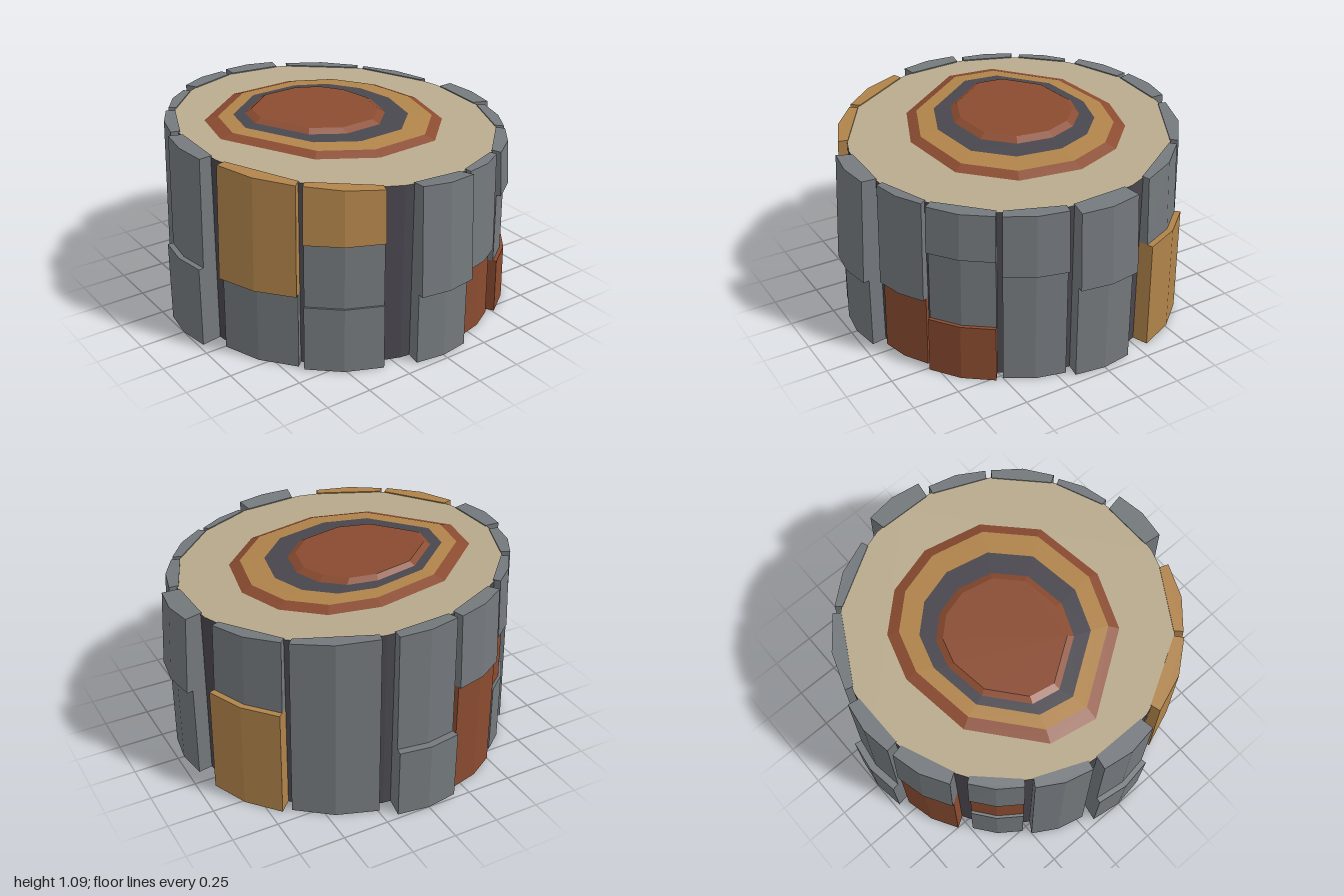
import * as THREE from 'three';

const paint = (name, hex, extra = {}) => {
  const m = new THREE.MeshStandardMaterial({ color: hex, flatShading: true, ...extra });
  m.name = name;
  return m;
};

// Slanted plane of the cut face
const cutY = (x, z) => 1.003 - 0.052 * x - 0.04 * z;
const polar = (deg, r) => {
  const a = THREE.MathUtils.degToRad(deg);
  return [r * Math.cos(a), r * Math.sin(a)];
};

// Joins stacked loops (counter-clockwise from above) with optional end caps
function skin(loops, capBottom, capTop) {
  const pos = [];
  const tri = (a, b, c) => pos.push(...a, ...b, ...c);
  for (let k = 0; k + 1 < loops.length; k++) {
    const lo = loops[k], hi = loops[k + 1], n = lo.length;
    for (let i = 0; i < n; i++) {
      const j = (i + 1) % n;
      tri(lo[i], lo[j], hi[j]);
      tri(lo[i], hi[j], hi[i]);
    }
  }
  const first = loops[0], last = loops[loops.length - 1];
  for (let i = 1; i + 1 < first.length; i++) {
    if (capBottom) tri(first[0], first[i + 1], first[i]);
    if (capTop) tri(last[0], last[i], last[i + 1]);
  }
  const g = new THREE.BufferGeometry();
  g.setAttribute('position', new THREE.Float32BufferAttribute(pos, 3));
  g.computeVertexNormals();
  return g;
}

export function createModel() {
  const stump = new THREE.Group();
  stump.name = 'stump';
  const grey = paint('bark grey', 0x74797d);
  const tan = paint('bark tan', 0xb0834a);
  const rust = paint('bark rust', 0x8a4b30);
  const dark = paint('core dark', 0x49474e);
  const beige = paint('cut wood beige', 0xb8aa8c);

  const add = (parent, name, geometry, material) => {
    const m = new THREE.Mesh(geometry, material);
    m.name = name;
    parent.add(m);
  };

  // Core: dark sides, grey underside, pale slanted cut
  const SIDES = 28, R = 0.88;
  const low = [], high = [];
  for (let i = 0; i < SIDES; i++) {
    const [x, z] = polar(-i * 360 / SIDES, R);
    low.push([x, 0, z]);
    high.push([x, cutY(x, z), z]);
  }
  add(stump, 'core', skin([low, high], false, false), dark);
  add(stump, 'underside', skin([low], true, false), grey);
  add(stump, 'cutFace', skin([high], false, true), beige);

  // Bark plates: start angle, end angle, top lift, then pieces from the
  // ground up as [upper height (0 = cut), radius below, radius above, colour]
  const plates = [
    [-10, 10, 0.004, [0.53, 0.965, 0.965, grey], [0, 1.0, 0.975, grey]],
    [12.5, 33, 0.004, [0.62, 0.93, 0.925, grey], [0, 0.95, 0.93, grey]],
    [35, 57, 0.004, [0.31, 0.95, 0.945, rust], [0.7, 0.925, 0.92, grey], [0, 0.945, 0.93, grey]],
    [59, 77.5, 0.004, [0.4, 0.91, 0.905, rust], [0, 0.93, 0.915, grey]],
    [80.5, 99.5, 0.022, [0.4, 0.968, 0.965, grey], [0, 1.0, 0.97, grey]],
    [110, 135, 0.004, [0.36, 0.95, 0.945, grey], [0.71, 0.935, 0.93, grey], [0, 0.95, 0.93, tan]],
    [137, 164, 0.004, [0.42, 0.93, 0.925, grey], [0, 0.955, 0.935, tan]],
    [170, 190, 0.006, [0.45, 1.0, 1.0, grey], [0, 0.97, 0.957, grey]],
    [193, 212, 0.004, [0, 0.955, 0.93, grey]],
    [215, 233, 0.004, [0.4, 0.935, 0.93, grey], [0.73, 0.915, 0.91, rust], [0, 0.935, 0.92, grey]],
    [238, 258, 0.004, [0.64, 0.955, 0.95, rust], [0, 0.965, 0.945, grey]],
    [260, 280, 0.01, [0.39, 1.0, 1.0, grey], [0, 0.96, 0.945, grey]],
    [285, 313, 0.004, [0, 0.945, 0.925, grey]],
    [315.5, 341, 0.004, [0.6, 0.972, 0.968, tan], [0, 0.935, 0.92, grey]],
  ];
  plates.forEach(([a0, a1, lift, ...pieces], i) => {
    const plate = new THREE.Group();
    plate.name = `barkPlate${i + 1}`;
    stump.add(plate);
    // Faceted outer edge and a flat inner chord
    const section = (r, y) => [
      polar(a1, r * 0.99), polar((a0 + a1) / 2, r), polar(a0, r * 0.99),
      polar(a0, 0.87), polar(a1, 0.87),
    ].map(([x, z], k) => [x, y || cutY(x, z) + (k < 3 ? lift : 0.006), z]);
    let y = 0;
    pieces.forEach(([top, r0, r1, material], k) => {
      const bottom = section(r0, y || 1e-6);
      add(plate, `barkPiece${k + 1}`, skin([bottom, section(r1, top)], true, true), material);
      y = top;
    });
  });

  // Growth rings: one irregular outline, shrunk and shifted off centre
  const outline = [
    [-0.42, 0.41], [-0.11, 0.54], [0.29, 0.49], [0.53, 0.26], [0.6, -0.07], [0.52, -0.34],
    [0.34, -0.53], [0.08, -0.61], [-0.32, -0.56], [-0.66, -0.28], [-0.71, -0.02],
  ];
  const ring = (s, dx, dz, h) => outline.map(([px, pz]) => {
    const x = px * s + dx, z = pz * s + dz;
    return [x, cutY(x, z) + h, z];
  });
  const edges = [
    ring(1, 0, 0, 0.002), ring(0.9, 0, 0, 0.024), ring(0.735, -0.03, -0.02, 0.03),
    ring(0.59, -0.06, -0.05, 0.034), ring(0.53, -0.065, -0.055, 0.055),
  ];
  add(stump, 'outerRing', skin(edges.slice(0, 2)), rust);
  add(stump, 'middleRing', skin(edges.slice(1, 3)), tan);
  add(stump, 'innerRing', skin(edges.slice(2, 4)), dark);
  add(stump, 'heartwood', skin(edges.slice(3, 5), false, true), rust);
  return stump;
}
